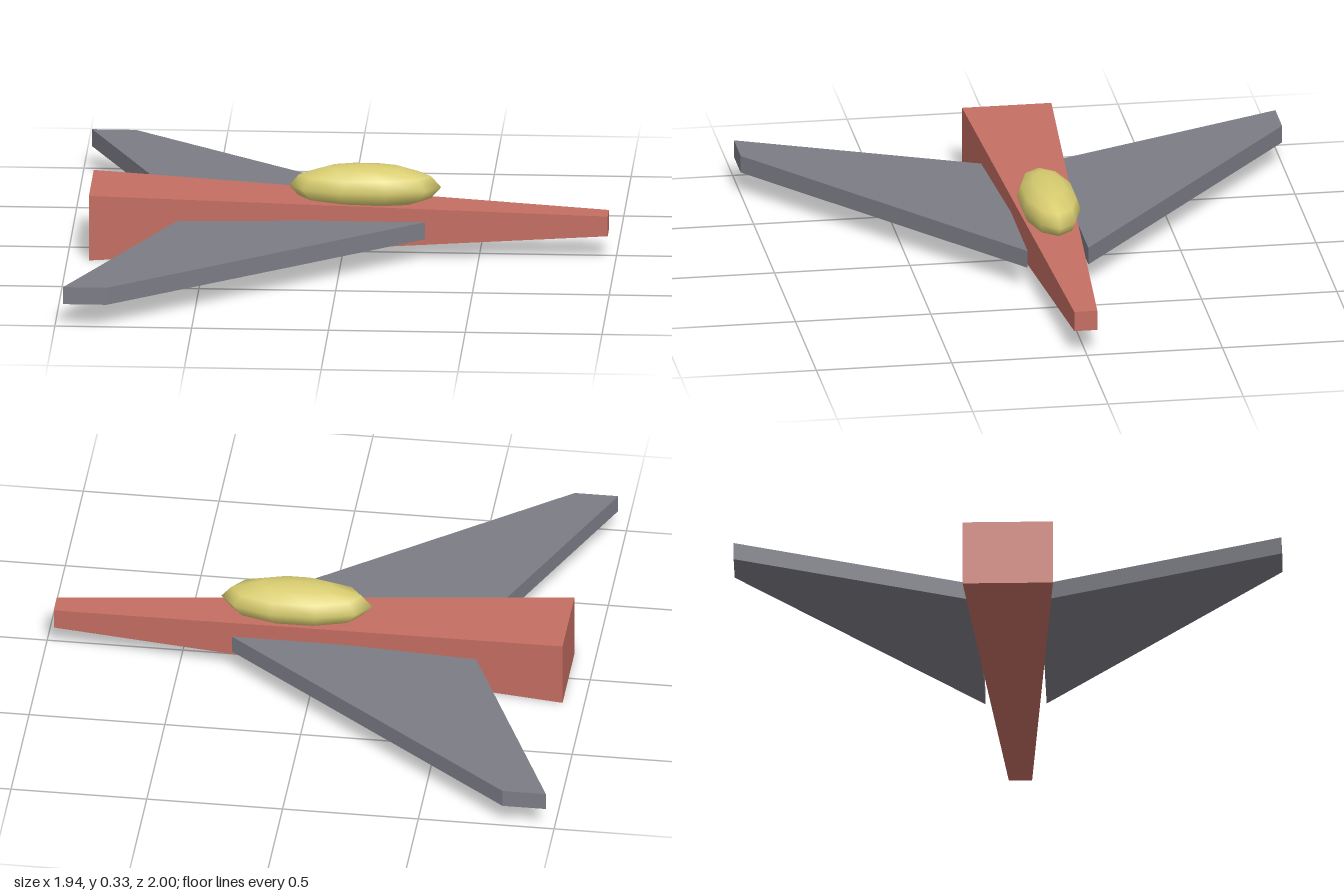
import * as THREE from 'three';

export function createModel() {
  const model = new THREE.Group();
  const mat = (name, color) => {
    const m = new THREE.MeshStandardMaterial({ color });
    m.name = name;
    return m;
  };
  const red = mat('hull red', 0xc46e62);
  const grey = mat('wing grey', 0x7c7c86);
  const yellow = mat('canopy yellow', 0xd8cc70);

  const add = (name, geometry, material) => {
    const mesh = new THREE.Mesh(geometry, material);
    mesh.name = name;
    model.add(mesh);
    return mesh;
  };

  // Fuselage: a box tapering from the broad tail to the narrow nose
  const hull = new THREE.BoxGeometry(1, 1, 1);
  const p = hull.attributes.position;
  for (let i = 0; i < p.count; i++) {
    const nose = p.getX(i) > 0;
    p.setXYZ(
      i,
      nose ? 0.97 : -0.92,
      0.123 + p.getY(i) * (nose ? 0.075 : 0.246),
      p.getZ(i) * (nose ? 0.085 : 0.33)
    );
  }
  hull.computeVertexNormals();
  add('fuselage', hull, red);

  // Swept wings, mirrored across the fuselage
  for (const [name, side] of [['rightWing', 1], ['leftWing', -1]]) {
    const outline = [[0.305, 0.112], [-0.81, 1], [-0.97, 1], [-0.585, 0.112]];
    const shape = new THREE.Shape(outline.map(([x, z]) => new THREE.Vector2(x, z * side)));
    const wing = new THREE.ExtrudeGeometry(shape, { depth: 0.065, bevelEnabled: false });
    wing.rotateX(Math.PI / 2);
    add(name, wing, grey).position.y = 0.149;
  }

  // Canopy: a stretched, coarse sphere sunk into the fuselage
  const canopy = add('canopy', new THREE.SphereGeometry(1, 10, 6), yellow);
  canopy.scale.set(0.278, 0.084, 0.11);
  canopy.position.set(0.081, 0.25, 0);

  return model;
}
